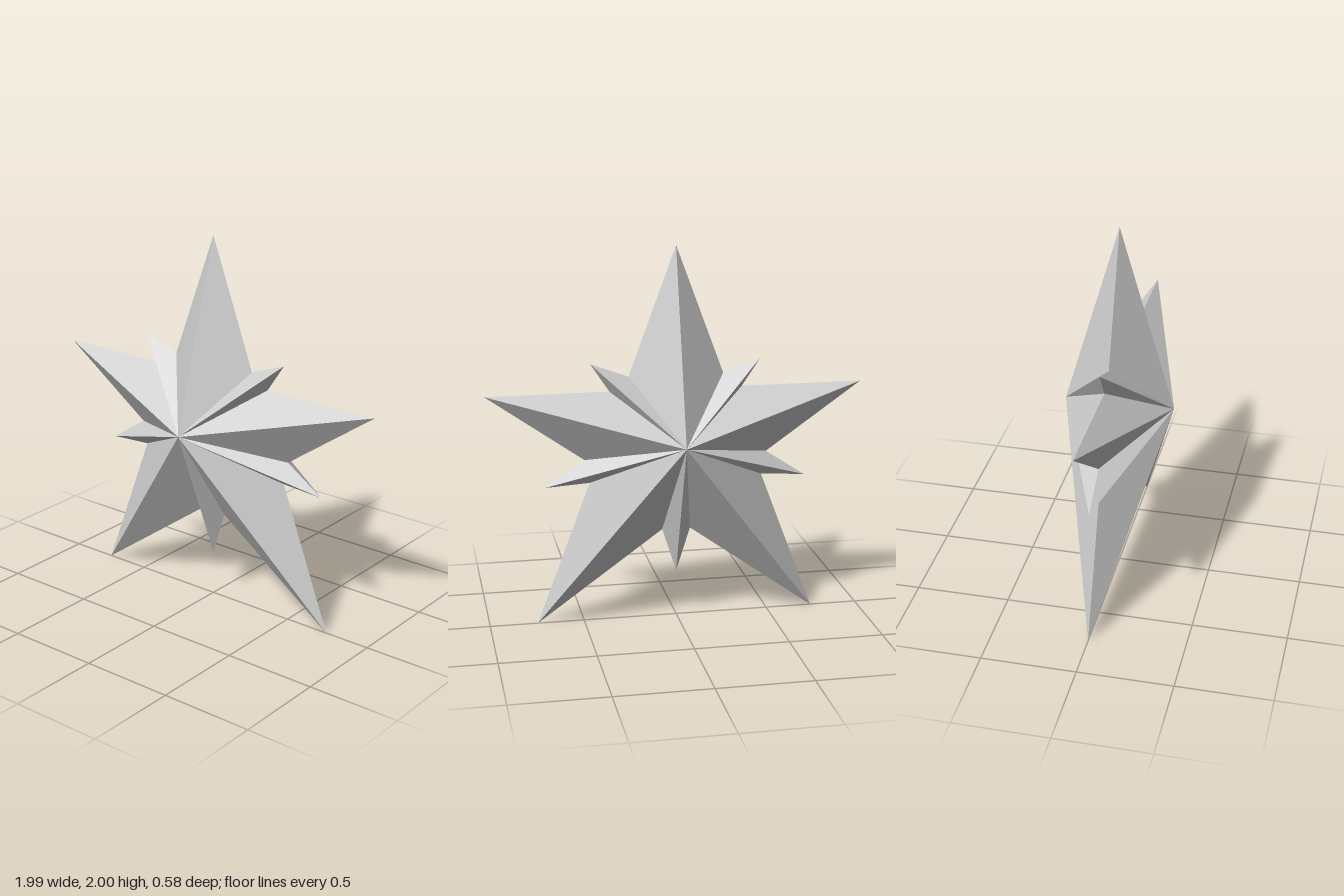
import * as THREE from 'three';

const CENTRE_Y = 1;
const HALF_DEPTH = 0.29;

// Right half of the outline, clockwise from the top tip to the bottom tip:
// tips (alternately long and short) with a notch between each pair.
const HALF_OUTLINE = [
  [0, 2], [0.25, 1.325], [0.45, 1.4], [0.35, 1.25], [0.995, 1.25], [0.485, 0.89],
  [0.695, 0.75], [0.46, 0.765], [0.747, 0.003], [0.075, 0.487], [0, 0.25],
];

// One ray: four flat facets from its tip and two notches to the front and back apex
function rayGeometry(before, tip, after) {
  const positions = [];
  for (const [a, b] of [[before, tip], [tip, after]]) {
    positions.push(0, CENTRE_Y, HALF_DEPTH, ...b, 0, ...a, 0);
    positions.push(0, CENTRE_Y, -HALF_DEPTH, ...a, 0, ...b, 0);
  }
  const geometry = new THREE.BufferGeometry();
  geometry.setAttribute('position', new THREE.Float32BufferAttribute(positions, 3));
  geometry.computeVertexNormals();
  return geometry;
}

export function createModel() {
  const star = new THREE.Group();
  star.name = 'star';
  const material = new THREE.MeshStandardMaterial({ color: 0xcccccc, flatShading: true });

  // Mirror the half outline to close the loop
  const mirrored = HALF_OUTLINE.slice(1, -1).reverse().map(([x, y]) => [-x, y]);
  const outline = [...HALF_OUTLINE, ...mirrored];
  const n = outline.length;

  // Five long rays alternate with five short ones
  for (let i = 0; i < n; i += 2) {
    const geometry = rayGeometry(outline[(i + n - 1) % n], outline[i], outline[(i + 1) % n]);
    const ray = new THREE.Mesh(geometry, material);
    ray.name = (i % 4 === 0 ? 'longRay' : 'shortRay') + (Math.floor(i / 4) + 1);
    star.add(ray);
  }
  return star;
}
